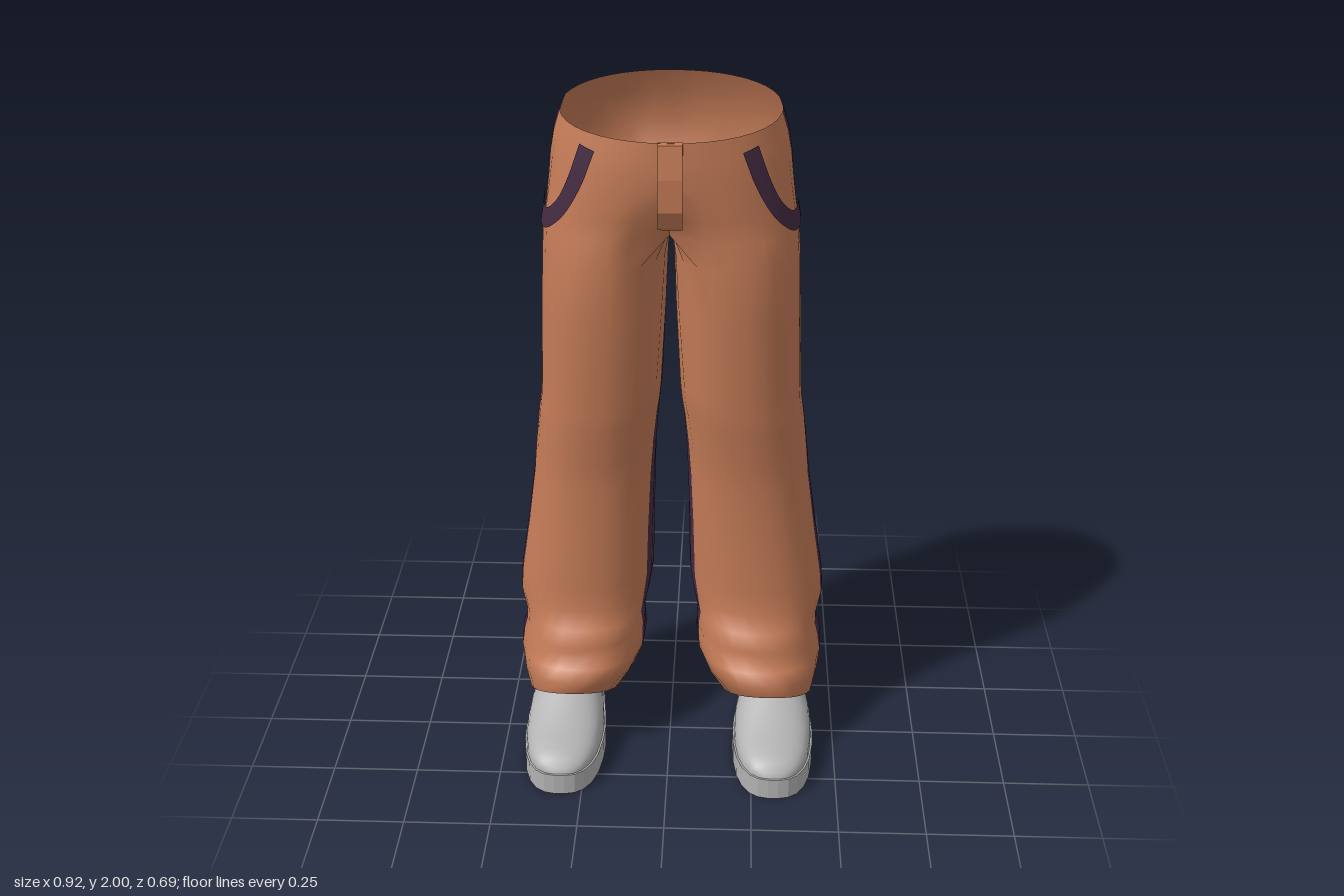
import * as THREE from 'three';

const clothMat = new THREE.MeshStandardMaterial({ color: 0xc47b57, side: THREE.DoubleSide });
clothMat.name = 'rust cloth';
const stripeMat = new THREE.MeshStandardMaterial({ color: 0x452b42, side: THREE.DoubleSide });
stripeMat.name = 'plum trim';
const shoeMat = new THREE.MeshStandardMaterial({ color: 0xb2b2b2, side: THREE.DoubleSide });
shoeMat.name = 'grey shoe';

const { lerp, smoothstep, degToRad } = THREE.MathUtils;
const spow = (v, p) => Math.sign(v) * Math.abs(v) ** p;

// Hip sections: y, half width, front z, back z, roundness
const hips = [
  [1.96, 0.3, 0.152, -0.285, 0.95],
  [1.9, 0.318, 0.155, -0.315, 0.9],
  [1.84, 0.328, 0.155, -0.331, 0.85],
  [1.77, 0.334, 0.152, -0.325, 0.8],
  [1.7, 0.342, 0.147, -0.306, 0.75],
  [1.64, 0.352, 0.143, -0.301, 0.72],
];
// Leg sections: y, inner x, outer x, front z, back z
const legs = [
  [1.56, 0.008, 0.358, 0.141, -0.3],
  [1.4, 0.014, 0.364, 0.134, -0.297],
  [1.16, 0.025, 0.372, 0.107, -0.279],
  [1.11, 0.03, 0.375, 0.102, -0.266],
  [1.06, 0.036, 0.383, 0.096, -0.29],
  [0.95, 0.044, 0.396, 0.076, -0.304],
  [0.85, 0.048, 0.406, 0.064, -0.312],
  [0.68, 0.052, 0.43, 0.06, -0.329],
  [0.52, 0.055, 0.455, 0.06, -0.336],
  [0.45, 0.066, 0.46, 0.063, -0.337],
  [0.39, 0.08, 0.445, 0.085, -0.335],
  [0.35, 0.08, 0.442, 0.126, -0.335],
  [0.31, 0.077, 0.456, 0.1, -0.337],
  [0.265, 0.085, 0.458, 0.145, -0.34],
  [0.2, 0.112, 0.45, 0.165, -0.344],
  [0.115, 0.155, 0.437, 0.155, -0.345],
];
const SEGS = [3, 9, 3, 3, 3, 9]; // outer stripe, front, inner front, inner stripe, inner back, back
const COLS = 30, CROTCH = hips.length - 1;

// Angles where a side stripe meets an oval section
function stripeAngles(stripeZ, half, cz, rz, e) {
  return [-half, half].map(w => Math.asin(spow((stripeZ + w - cz) / rz, 1 / e)));
}

// Walk the six segments of a ring
function walk(breaks, point) {
  return SEGS.flatMap((n, s) =>
    Array.from({ length: n }, (_, i) => point(lerp(breaks[s], breaks[s + 1], i / n), s)).flat());
}

// Half oval whose inner side is a line on x = 0; it meets its mirror there
function hipRing([y, rx, zf, zb, e]) {
  const cz = (zf + zb) / 2, rz = (zf - zb) / 2, P = Math.PI;
  const crease = 0.08 * (1 - smoothstep(y, 1.62, 1.79));
  const tilt = -0.18 * smoothstep(y, 1.77, 1.96);
  const stripeZ = lerp(-0.083, -0.118, (1.96 - y) / 0.32);
  const [a0, a1] = stripeAngles(stripeZ, 0.048, cz, rz, e);
  const line = [zf - crease, -0.09, -0.13, zb + crease];
  const outer = [a0, a1, P / 2, P / 2, 1.5 * P, 1.5 * P, a0 + 2 * P];
  const inner = walk([0, 0, ...line, 0], v => [v]);
  let col = 0;
  return walk(outer, (a, s) => {
    const lineZ = inner[col++];
    if (s >= 2 && s <= 4) return [0, y + tilt * (lineZ - cz), lineZ];
    const x = Math.max(0, rx * spow(Math.cos(a), e));
    const side = Math.sin(a);
    const z = cz + rz * spow(side, e) - Math.sign(side) * crease * Math.exp(-((x / 0.07) ** 2));
    return [x < 1e-4 ? 0 : x, y + tilt * (z - cz), z];
  });
}

// Full oval round one leg, tilting and curving towards the hem
function legRing([y, x0, x1, zf, zb]) {
  const cx = (x0 + x1) / 2, rx = x1 - cx, cz = (zf + zb) / 2, rz = (zf - zb) / 2, e = 0.9, P = Math.PI;
  const tilt = 0.32 * Math.max(0, 1 - (y - 0.115) / 0.34) ** 2;
  const stripeZ = -0.092 - 0.034 * smoothstep(y, 0.28, 0.48);
  const innerHalf = 0.042 + 0.03 * smoothstep(y, 0.25, 0.5) - 0.05 * smoothstep(y, 1.2, 1.62);
  const [a0, a1] = stripeAngles(stripeZ, 0.048, cz, rz, e);
  const [b0, b1] = stripeAngles(stripeZ + 0.008, innerHalf, cz, rz, e);
  return walk([a0, a1, P / 2 + 0.6, P - b1, P - b0, 1.5 * P - 0.6, a0 + 2 * P], a => {
    const dz = rz * spow(Math.sin(a), e);
    return [cx + rx * spow(Math.cos(a), e), y + tilt * (dz + 1.25 * dz * dz), cz + dz];
  });
}

function surface(pos, idx) {
  const g = new THREE.BufferGeometry();
  g.setAttribute('position', new THREE.Float32BufferAttribute(pos, 3));
  g.setIndex(idx);
  g.computeVertexNormals();
  return g;
}

function part(name, geometry, material) {
  const m = new THREE.Mesh(geometry, material);
  m.name = name;
  return m;
}

// One trouser leg with its side of the hips
function trouserHalf() {
  const pos = [...hips.flatMap(hipRing), ...legs.flatMap(legRing)];
  const cloth = [], trim = [];
  for (let r = 0; r < hips.length + legs.length - 1; r++) {
    for (let c = 0; c < COLS; c++) {
      if (r < CROTCH && c >= 12 && c < 21) continue; // open inside the hips
      const a = r * COLS + c, b = r * COLS + (c + 1) % COLS;
      const striped = c < 3 || (c >= 15 && c < 18);
      (striped ? trim : cloth).push(a, b, a + COLS, b, b + COLS, a + COLS);
    }
  }
  const g = surface(pos, [...cloth, ...trim]);
  g.addGroup(0, cloth.length, 0);
  g.addGroup(cloth.length, trim.length, 1);
  // Level the normals along the centre seam
  const n = g.attributes.normal;
  for (let i = 0; i < CROTCH * COLS; i++) {
    if (pos[i * 3] !== 0) continue;
    const l = Math.hypot(n.getY(i), n.getZ(i)) || 1;
    n.setXYZ(i, 0, n.getY(i) / l, n.getZ(i) / l);
  }
  return part('trouserLeg', g, [clothMat, stripeMat]);
}

// Point just outside the hip surface
function hipPoint(a, y) {
  const i = hips.findIndex(h => h[0] <= y) - 1;
  const t = (hips[i][0] - y) / (hips[i][0] - hips[i + 1][0]);
  const [, rx, zf, zb, e] = hips[i].map((v, k) => lerp(v, hips[i + 1][k], t));
  return [(rx + 0.007) * spow(Math.cos(a), e), y,
    (zf + zb) / 2 + ((zf - zb) / 2 + 0.007) * spow(Math.sin(a), e)];
}

// Curved trim along the pocket opening
function pocketTrim() {
  const S = 0.3, N = 24, pos = [], idx = [];
  const path = new THREE.SplineCurve([[51, 1.895], [47, 1.81], [38, 1.725], [25, 1.679], [12, 1.674], [-3, 1.69]]
    .map(([d, y]) => new THREE.Vector2(degToRad(d) * S, y)));
  for (let i = 0; i <= N; i++) {
    const p = path.getPoint(i / N), t = path.getTangent(i / N);
    for (const w of [-0.028, 0, 0.028]) pos.push(...hipPoint((p.x - t.y * w) / S, p.y + t.x * w));
    if (i < N) for (const a of [i * 3, i * 3 + 1]) idx.push(a, a + 1, a + 3, a + 1, a + 4, a + 3);
  }
  return part('pocketTrim', surface(pos, idx), stripeMat);
}

// Shoe stations from toe to heel: z, half width, top height
const shoeRows = [
  [0.35, 0.015, 0.06], [0.343, 0.045, 0.084], [0.325, 0.07, 0.1], [0.29, 0.092, 0.115], [0.24, 0.108, 0.127],
  [0.17, 0.118, 0.145], [0.1, 0.121, 0.18], [0.04, 0.118, 0.205], [-0.05, 0.108, 0.21], [-0.16, 0.098, 0.18],
  [-0.25, 0.09, 0.15], [-0.3, 0.07, 0.125], [-0.325, 0.04, 0.1], [-0.332, 0.015, 0.06],
];

function shoe() {
  const N = 16, pos = [], idx = [];
  shoeRows.forEach(([z, w, top], r) => {
    for (let i = 0; i <= N; i++) {
      const a = Math.PI * i / N, k = r * (N + 1) + i;
      pos.push(w * 0.96 * Math.cos(a), 0.06 + (top - 0.06) * Math.max(0, Math.sin(a)) ** 0.65, z * 0.985);
      if (r < shoeRows.length - 1 && i < N) idx.push(k, k + N + 1, k + 1, k + 1, k + N + 1, k + N + 2);
    }
  });
  // Flat sole following the same outline
  const right = shoeRows.map(([z, w]) => new THREE.Vector2(w, -z));
  const left = shoeRows.map(([z, w]) => new THREE.Vector2(-w, -z)).reverse();
  const sole = new THREE.ExtrudeGeometry(new THREE.Shape([...right, ...left]), { depth: 0.065, bevelEnabled: false });
  sole.rotateX(-Math.PI / 2);
  const group = new THREE.Group();
  group.name = 'shoe';
  group.add(part('shoeUpper', surface(pos, idx), shoeMat), part('shoeSole', sole, shoeMat));
  group.position.x = 0.314;
  return group;
}

// Fly flap at the centre front, extruded from its side profile
function fly() {
  const profile = [[0.14, 1.92], [0.14, 1.68], [0.152, 1.69], [0.178, 1.74], [0.182, 1.83], [0.171, 1.92]];
  const shape = new THREE.Shape(profile.map(([z, y]) => new THREE.Vector2(z, y)));
  const g = new THREE.ExtrudeGeometry(shape, { depth: 0.066, bevelEnabled: false });
  g.rotateY(-Math.PI / 2);
  const m = part('fly', g, clothMat);
  m.position.x = 0.038;
  return m;
}

export function createModel() {
  const model = new THREE.Group();
  model.name = 'trousersAndShoes';
  for (const side of [1, -1]) {
    const half = new THREE.Group();
    half.name = side > 0 ? 'leftSide' : 'rightSide';
    half.add(trouserHalf(), pocketTrim(), shoe());
    half.scale.x = side;
    model.add(half);
  }
  model.add(fly());
  return model;
}
